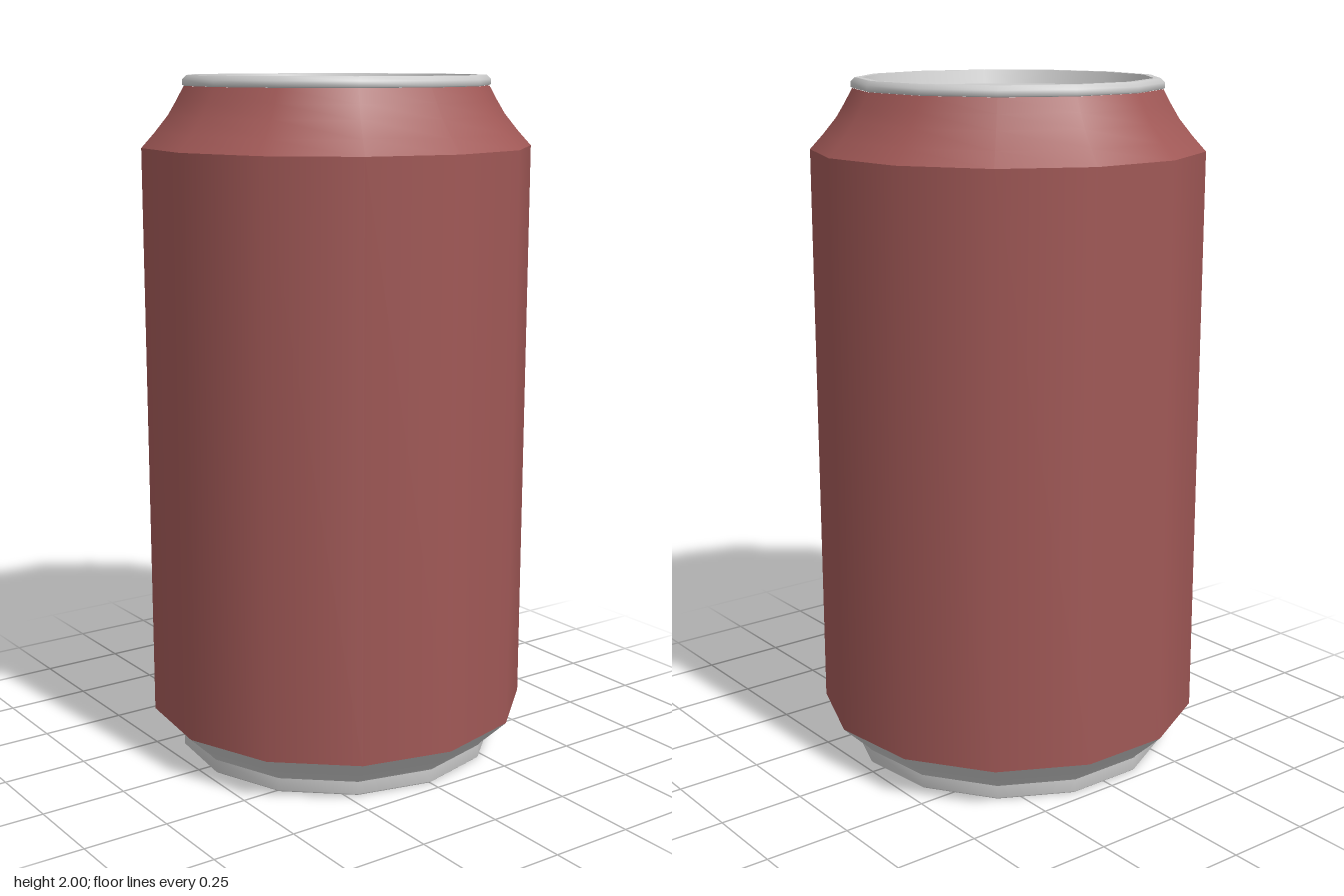
import * as THREE from 'three';

const SIDES = 13, SHIFT = -0.008;
const LID_Y = 1.96, POCKET_Y = 1.945;
const v2 = (p) => new THREE.Vector2(p[0], p[1]);

// Points with z >= 0 listed left to right, mirrored into a closed loop
function mirrored(half) {
  const lower = half.map(v2);
  const upper = half.filter((p) => p[1] > 0).reverse().map((p) => new THREE.Vector2(p[0], -p[1]));
  return [...lower, ...upper].reverse();
}

function ellipse(cx, rx, ry, n) {
  return Array.from({ length: n }, (_, i) => {
    const a = ((i + 0.5) / n) * Math.PI * 2;
    return new THREE.Vector2(cx + rx * Math.cos(a), ry * Math.sin(a));
  });
}

// Sloped strip joining two loops at different heights
function strip(a, ya, b, yb) {
  const pos = [];
  a.forEach((p, i) => {
    const j = (i + 1) % a.length;
    const A = [p.x, ya, p.y], B = [a[j].x, ya, a[j].y];
    const C = [b[i].x, yb, b[i].y], D = [b[j].x, yb, b[j].y];
    pos.push(...A, ...C, ...B, ...B, ...C, ...D);
  });
  const g = new THREE.BufferGeometry();
  g.setAttribute('position', new THREE.Float32BufferAttribute(pos, 3));
  g.computeVertexNormals();
  return g;
}

export function createModel() {
  const can = new THREE.Group();
  can.name = 'drinkCan';
  const metal = new THREE.MeshStandardMaterial({ color: 0xcccccc });
  const metalFlat = new THREE.MeshStandardMaterial({ color: 0xcccccc, flatShading: true, side: THREE.DoubleSide });
  const paint = new THREE.MeshStandardMaterial({ color: 0xa05856 });

  const add = (name, geometry, material, y = 0) => {
    const mesh = new THREE.Mesh(geometry, material);
    mesh.name = name;
    mesh.position.y = y;
    can.add(mesh);
    return mesh;
  };
  const turned = (name, profile, material) => {
    const mesh = add(name, new THREE.LatheGeometry(profile.map(v2), SIDES, Math.PI / 2), material);
    mesh.position.x = SHIFT;
  };
  const flat = (geometry) => geometry.rotateX(-Math.PI / 2);

  // Painted wall and shoulder
  turned('body', [[0.563, 0.13], [0.563, 1.8]], paint);
  turned('shoulder', [[0.563, 1.8], [0.525, 1.842], [0.486, 1.89], [0.462, 1.93], [0.44, 1.97]], paint);

  // Base: concave dome, standing ring and flare
  turned('baseDome', [[0, 0.12], [0.15, 0.11], [0.3, 0.075], [0.42, 0.03], [0.435, 0]], metal);
  turned('standingRing', [[0.435, 0], [0.468, 0]], metal);
  turned('footWall', [[0.468, 0], [0.475, 0.006], [0.475, 0.043]], metal);
  turned('baseFlare', [[0.475, 0.043], [0.482, 0.052], [0.52, 0.088], [0.563, 0.13]], metal);

  // Rolled rim
  turned('rimOuter', [[0.437, 1.97], [0.444, 1.973], [0.444, 1.988], [0.432, 2]], metal);
  turned('rimTop', [[0.432, 2], [0.412, 2]], metal);
  turned('rimInner', [[0.412, 2], [0.4, LID_Y]], metal);

  // Lid plate with a sunken pocket
  const pocket = mirrored([[-0.302, 0], [-0.298, 0.04], [-0.28, 0.09], [-0.235, 0.146], [-0.155, 0.178],
    [0, 0.2], [0.155, 0.22], [0.21, 0.203], [0.26, 0.16], [0.295, 0.08], [0.309, 0]]);
  const floor = pocket.map((p) => new THREE.Vector2(p.x * 0.955, p.y * 0.94));
  const lidOutline = Array.from({ length: SIDES }, (_, i) => {
    const a = (i / SIDES) * Math.PI * 2;
    return new THREE.Vector2(SHIFT + 0.4 * Math.cos(a), 0.4 * Math.sin(a));
  });
  const lid = new THREE.Shape(lidOutline);
  lid.holes.push(new THREE.Path(pocket));
  add('lid', flat(new THREE.ShapeGeometry(lid)), metal, LID_Y);
  add('pocketWall', strip(pocket, LID_Y, floor, POCKET_Y), metalFlat);
  add('pocketFloor', flat(new THREE.ShapeGeometry(new THREE.Shape(floor))), metal, POCKET_Y);

  // Scored mouth panel
  const mouth = mirrored([[0.027, 0.13], [0.055, 0.163], [0.1, 0.184], [0.155, 0.188],
    [0.215, 0.168], [0.26, 0.115], [0.278, 0.055], [0.282, 0]]);
  add('mouthPanel', flat(new THREE.ExtrudeGeometry(new THREE.Shape(mouth),
    { depth: 0.003, bevelEnabled: false })), metal, POCKET_Y);

  // Pull tab with two finger holes
  const tabShape = new THREE.Shape(mirrored([[-0.22, 0], [-0.205, 0.06], [-0.15, 0.104],
    [0.1, 0.09], [0.136, 0.045], [0.146, 0]]));
  tabShape.holes.push(new THREE.Path(ellipse(-0.115, 0.083, 0.079, 10)));
  tabShape.holes.push(new THREE.Path(ellipse(0.056, 0.068, 0.068, 10)));
  add('pullTab', flat(new THREE.ExtrudeGeometry(tabShape, {
    depth: 0.008, bevelThickness: 0.007, bevelSize: 0.011, bevelOffset: -0.011, bevelSegments: 2,
  })), metal, POCKET_Y + 0.01);

  return can;
}
